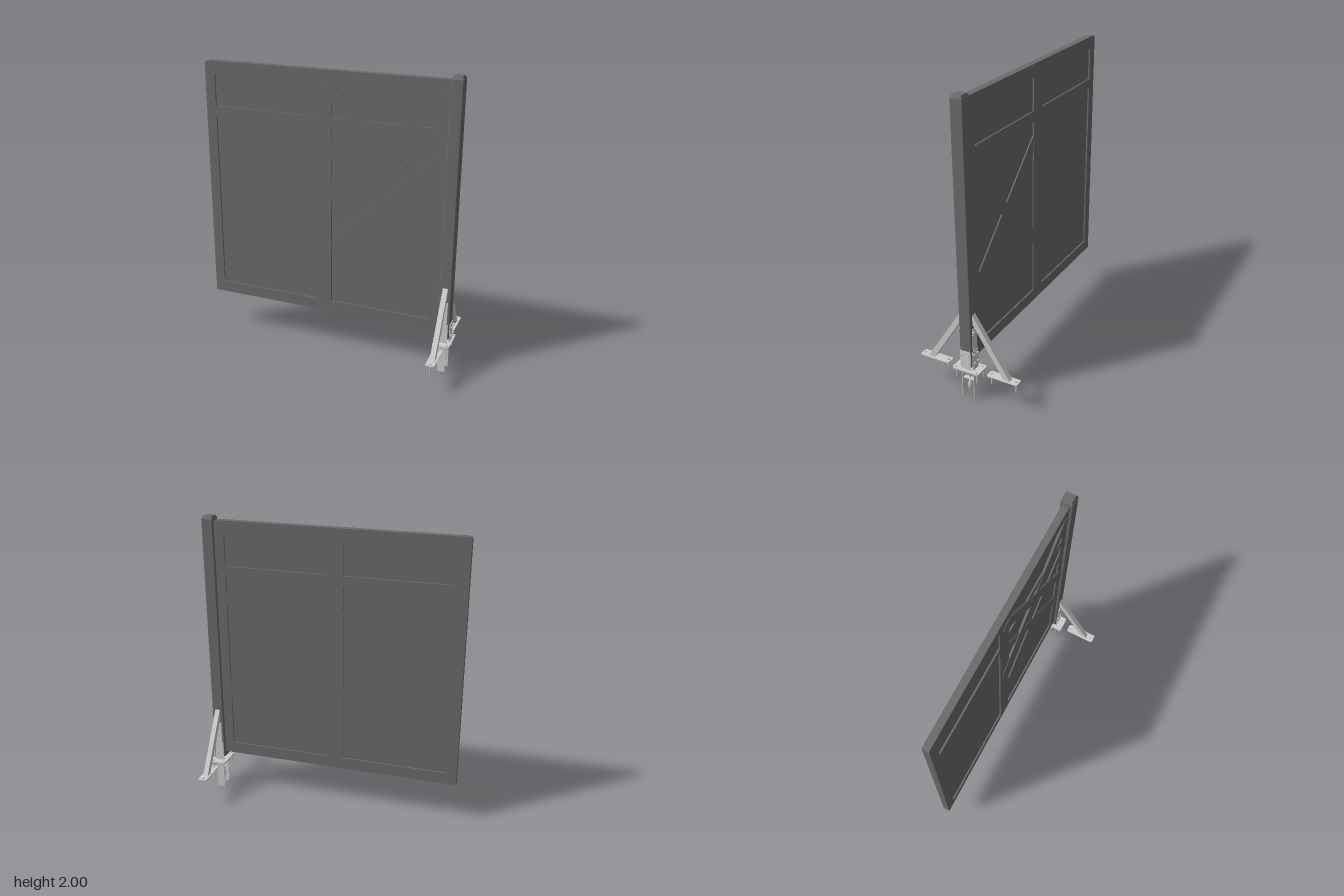
import * as THREE from 'three';

const dark = new THREE.MeshStandardMaterial({ color: 0x6b6b6b });
dark.name = 'dark grey paint';
const steel = new THREE.MeshStandardMaterial({ color: 0xcccccc });
steel.name = 'galvanised steel';

const POST_X = 0.826;

function add(parent, name, geometry, material, x = 0, y = 0, z = 0) {
  const mesh = new THREE.Mesh(geometry, material);
  mesh.name = name;
  mesh.position.set(x, y, z);
  parent.add(mesh);
  return mesh;
}

const box = (w, h, d) => new THREE.BoxGeometry(w, h, d);

const polygon = (pts) => new THREE.Shape(pts.map(([x, y]) => new THREE.Vector2(x, y)));

function extrude(shape, depth) {
  const g = new THREE.ExtrudeGeometry(shape, { depth, bevelEnabled: false, curveSegments: 6 });
  return g.translate(0, 0, -depth / 2);
}

// Rectangle with rounded corners, centred on the origin
function roundedRect(w, h, r) {
  const s = new THREE.Shape();
  const a = w / 2 - r, b = h / 2 - r;
  s.absarc(a, b, r, 0, Math.PI / 2);
  s.absarc(-a, b, r, Math.PI / 2, Math.PI);
  s.absarc(-a, -b, r, Math.PI, Math.PI * 1.5);
  s.absarc(a, -b, r, Math.PI * 1.5, Math.PI * 2);
  s.closePath();
  return s;
}

// Flat rounded plate lying on the ground plane
const floorPlate = (w, d, t) => extrude(roundedRect(w, d, 0.012), t).rotateX(-Math.PI / 2);

function buildPanel() {
  const panel = new THREE.Group();
  panel.name = 'panel';

  // Frame with four openings and softened top corners
  const outline = polygon([
    [-0.89, 0.285], [0.79, 0.285], [0.79, 1.96], [0.783, 1.971], [0.77, 1.975],
    [-0.865, 1.975], [-0.882, 1.97], [-0.89, 1.955],
  ]);
  for (const [x0, x1] of [[-0.82, -0.095], [0.02, 0.72]]) {
    for (const [y0, y1] of [[0.365, 1.6], [1.67, 1.89]]) {
      outline.holes.push(new THREE.Path([
        new THREE.Vector2(x0, y0), new THREE.Vector2(x0, y1),
        new THREE.Vector2(x1, y1), new THREE.Vector2(x1, y0),
      ]));
    }
  }
  add(panel, 'frame', extrude(outline, 0.046), dark);
  add(panel, 'infill', box(1.6, 1.6, 0.024), dark, -0.05, 1.12, 0);

  // Crossed battens, each mirrored about the middle of its bay
  const upper = [[-0.055, 1.05], [0.79, 1.84], [0.76, 1.89], [0.715, 1.89], [-0.055, 1.155]];
  const lower = [[0.02, 0.735], [0.72, 1.395], [0.72, 1.505], [0.02, 0.84]];
  const mirror = (pts, sum) => pts.map(([x, y]) => [sum - x, y]).reverse();
  for (const pts of [upper, mirror(upper, 0.735)]) {
    add(panel, 'upperBatten', extrude(polygon(pts), 0.038), dark, 0, 0, 0.008);
  }
  for (const pts of [lower, mirror(lower, 0.74)]) {
    add(panel, 'lowerBatten', extrude(polygon(pts), 0.042), dark);
  }
  return panel;
}

function buildPost() {
  const post = new THREE.Group();
  post.name = 'post';
  const shaft = extrude(roundedRect(0.08, 0.084, 0.008), 1.73).rotateX(-Math.PI / 2);
  add(post, 'shaft', shaft, dark, POST_X, 1.115, 0);

  // Domed square cap
  const cap = new THREE.CylinderGeometry(0.041, 0.0565, 0.02, 4, 1).rotateY(Math.PI / 4).toNonIndexed();
  cap.computeVertexNormals();
  add(post, 'cap', cap, dark, POST_X, 1.99, 0);
  return post;
}

function anchorBolt(parent, x, z) {
  add(parent, 'boltShank', new THREE.CylinderGeometry(0.004, 0.004, 0.08, 8), steel, x, 0.185, z);
  add(parent, 'boltHead', new THREE.CylinderGeometry(0.009, 0.009, 0.008, 6), steel, x, 0.225, z);
}

function buildBracket() {
  const bracket = new THREE.Group();
  bracket.name = 'groundBracket';

  // Base plate with four anchors
  add(bracket, 'basePlate', floorPlate(0.115, 0.19, 0.01), steel, POST_X, 0.218, 0);
  for (const dx of [-0.04, 0.04]) {
    for (const z of [-0.075, 0.075]) anchorBolt(bracket, POST_X + dx, z);
  }

  // Shoe plate on the outer side of the post
  add(bracket, 'shoePlate', box(0.005, 0.13, 0.074), steel, 0.869, 0.295, 0);
  for (const y of [0.275, 0.335]) {
    for (const z of [-0.025, 0.025]) {
      const bolt = new THREE.CylinderGeometry(0.008, 0.008, 0.012, 6).rotateZ(Math.PI / 2);
      add(bracket, 'sideBolt', bolt, steel, 0.877, y, z);
    }
  }

  for (const s of [1, -1]) {
    // Plates clamping the post, bolted through
    add(bracket, 'clampPlate', box(0.062, 0.14, 0.005), steel, POST_X, 0.29, s * 0.0445);
    add(bracket, 'strapPlate', box(0.046, 0.16, 0.004), steel, POST_X, 0.44, s * 0.044);
    for (const y of [0.275, 0.335, 0.5]) {
      for (const dx of [-0.018, 0.018]) {
        const bolt = new THREE.CylinderGeometry(0.008, 0.008, 0.01, 6).rotateX(Math.PI / 2);
        add(bracket, 'faceBolt', bolt, steel, POST_X + dx, y, s * 0.051);
      }
    }

    // Strips sunk in the ground
    add(bracket, 'groundStrip', box(0.052, 0.215, 0.005), steel, POST_X, 0.1075, s * 0.042);

    // Raking strut and its foot
    const strut = polygon([[0.255, 0.218], [0.3, 0.218], [0.042, 0.62], [0.042, 0.555]]);
    const strutMesh = add(bracket, 'strut', extrude(strut, 0.034), steel, POST_X, 0, 0);
    strutMesh.rotation.y = -s * Math.PI / 2;
    add(bracket, 'footPlate', floorPlate(0.062, 0.215, 0.006), steel, POST_X, 0.217, s * 0.2475);
    for (const z of [0.16, 0.335]) anchorBolt(bracket, POST_X, s * z);
  }

  // Tie bar and hanging spike between the strips
  add(bracket, 'tieBar', box(0.03, 0.005, 0.084), steel, POST_X, 0.135, 0);
  add(bracket, 'rod', new THREE.CylinderGeometry(0.005, 0.005, 0.13, 8), steel, POST_X, 0.18, 0);
  const spike = [[0, 0.035], [0.008, 0.05], [0.018, 0.085], [0.009, 0.115], [0.004, 0.13]];
  add(bracket, 'spike', new THREE.LatheGeometry(spike.map(([r, y]) => new THREE.Vector2(r, y)), 8),
    steel, POST_X, 0, 0);
  return bracket;
}

export function createModel() {
  const model = new THREE.Group();
  model.name = 'fencePanel';
  model.add(buildPanel(), buildPost(), buildBracket());
  return model;
}
